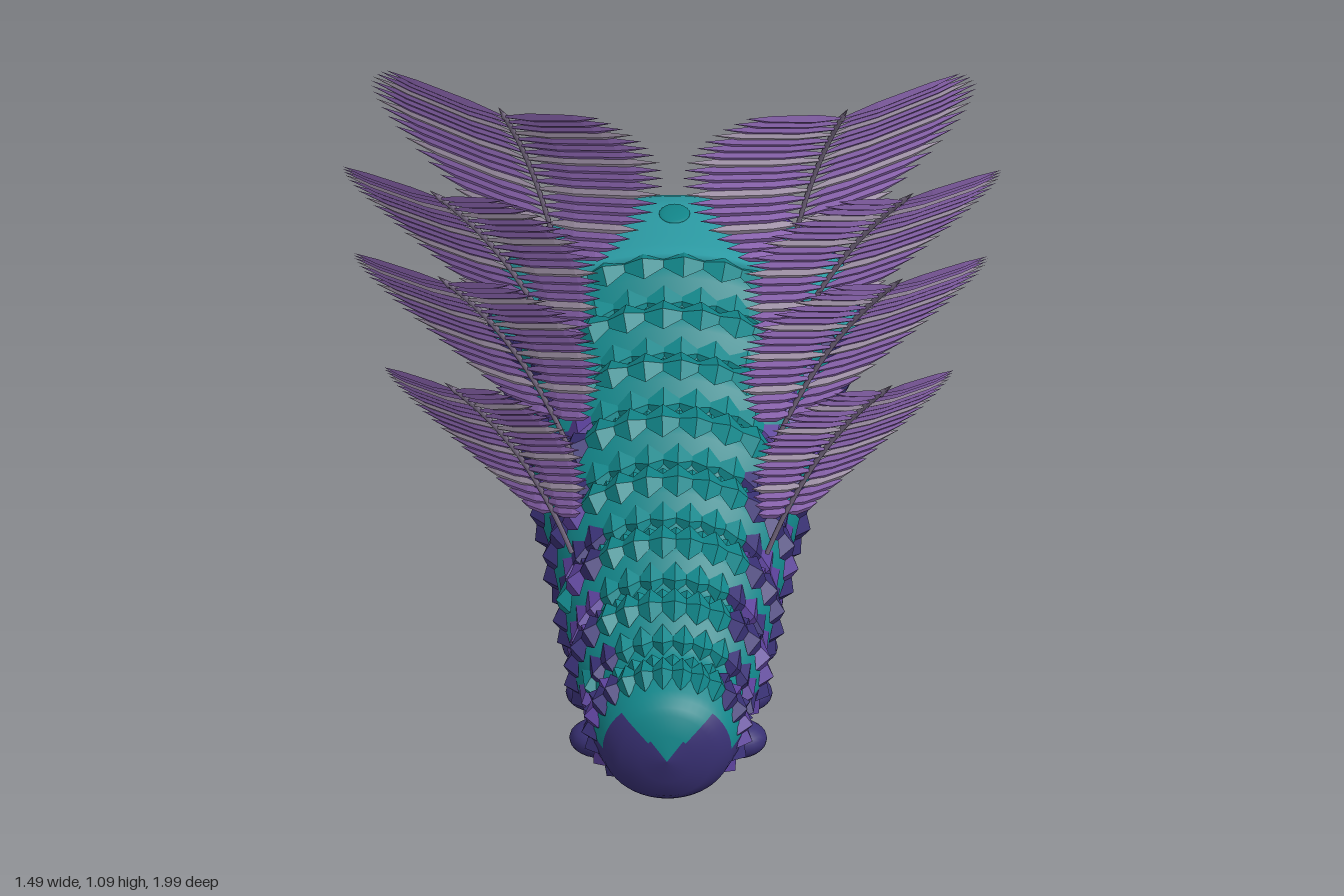
import * as THREE from 'three';
import { mergeGeometries } from 'three/addons/utils/BufferGeometryUtils.js';

const mat = (name, color) => {
  const m = new THREE.MeshStandardMaterial({ color });
  m.name = name;
  return m;
};
const V = (x, y, z) => new THREE.Vector3(x, y, z);

// piecewise-linear lookup in rows of [z, a, b]
function lookup(rows, z) {
  let i = 0;
  while (i < rows.length - 2 && z > rows[i + 1][0]) i++;
  const [p, q] = [rows[i], rows[i + 1]];
  const t = THREE.MathUtils.clamp((z - p[0]) / (q[0] - p[0]), 0, 1);
  return [p[1] + (q[1] - p[1]) * t, p[2] + (q[2] - p[2]) * t];
}

// skin of elliptical rings running along z; pick(x, y, z) gives the material of each face
function loft(name, rings, sides, pick) {
  const pos = [], buckets = new Map();
  for (const [z, rx, ry, cy] of rings)
    for (let j = 0; j < sides; j++) {
      const a = (j / sides) * Math.PI * 2;
      pos.push(Math.sin(a) * rx, cy + Math.cos(a) * ry, z);
    }
  for (let i = 0; i < rings.length - 1; i++)
    for (let j = 0; j < sides; j++) {
      const k = (j + 1) % sides, a = i * sides + j, b = i * sides + k, c = a + sides, d = b + sides;
      const mid = [0, 1, 2].map((n) => (pos[a * 3 + n] + pos[b * 3 + n] + pos[c * 3 + n] + pos[d * 3 + n]) / 4);
      const m = pick(...mid);
      if (!buckets.has(m)) buckets.set(m, []);
      buckets.get(m).push(a, c, d, a, d, b);
    }
  const geo = new THREE.BufferGeometry(), index = [], mats = [];
  geo.setAttribute('position', new THREE.Float32BufferAttribute(pos, 3));
  for (const [m, list] of buckets) {
    geo.addGroup(index.length, list.length, mats.length);
    mats.push(m);
    for (const n of list) index.push(n);
  }
  geo.setIndex(index);
  geo.computeVertexNormals();
  const mesh = new THREE.Mesh(geo, mats);
  mesh.name = name;
  return mesh;
}

export function createModel() {
  const teal = mat('teal', 0x12868a), brightTeal = mat('brightTeal', 0x2b9aa3);
  const indigo = mat('indigo', 0x383073), purple = mat('purple', 0x593f97), mauve = mat('mauve', 0x8462aa);
  const lilac = mat('lilac', 0x9a70c2), pale = mat('paleLilac', 0xb8a8c0), quill = mat('quillGrey', 0x7c6f88);
  const black = mat('black', 0x0b1216), white = mat('white', 0xe8eef0);
  const model = new THREE.Group();
  model.name = 'featheredCaterpillar';
  const add = (name, geo, m, parent = model) => {
    const mesh = new THREE.Mesh(geo, m);
    mesh.name = name;
    parent.add(mesh);
    return mesh;
  };

  // segmented body, flat along the belly
  const bodyRows = [[-0.55, 0.36, 0.268], [0, 0.308, 0.246], [0.4, 0.25, 0.208], [0.7, 0.212, 0.172],
    [0.9, 0.165, 0.141], [0.94, 0.145, 0.132], [0.97, 0.105, 0.105], [0.985, 0.06, 0.06], [0.995, 0, 0]];
  const section = (z) => {
    const [rx, ry] = lookup(bodyRows, z);
    const f = z > 0.87 ? 1 : 0.85 + 0.15 * Math.cos((Math.PI * (z - 0.87)) / 0.197) ** 2;
    return [z, rx * f, ry * f, 0.03 + Math.max(ry, 0.13) * f];
  };
  const skin = (a, z) => {
    const [, rx, ry, cy] = section(z);
    return V(Math.sin(a) * rx, cy + Math.cos(a) * ry, z);
  };
  const bodyZ = [];
  for (let z = -0.55; z < 0.93; z += 0.0245) bodyZ.push(z);
  bodyZ.push(0.94, 0.955, 0.97, 0.985, 0.995);
  model.add(loft('body', bodyZ.map(section), 48, (x, y, z) =>
    z > 0.93 ? (y > 0.17 + Math.abs(x) * 0.75 ? teal : indigo) : y > 0.17 ? teal : indigo));

  // raised pointed scales in staggered rows, lying along the skin
  const scaleGeo = new THREE.ConeGeometry(1, 1, 4, 1, true).toNonIndexed();
  scaleGeo.translate(0, 0.3, 0);
  const sp = scaleGeo.attributes.position;
  for (let i = 0; i < sp.count; i++) sp.setZ(i, sp.getZ(i) + 0.3 * sp.getY(i));
  scaleGeo.computeVertexNormals();
  const scaleSets = new Map([[teal, []], [indigo, []], [purple, []]]);
  let seed = 7;
  const rnd = () => (seed = (seed * 16807) % 2147483647) / 2147483647;
  let row = 0;
  for (let z = 0.87; z > -0.53; z -= 0.197 / 3, row++) {
    const [, rx, ry] = section(z), count = 19, arc = 4.7;
    for (let i = 0; i < count; i++) {
      const a = ((i + (row % 2 ? 0.5 : 0)) / (count - 0.5) - 0.5) * arc;
      const across = V(Math.cos(a) * rx, -Math.sin(a) * ry, 0).normalize();
      const along = skin(a, z + 0.025).sub(skin(a, z - 0.025)).normalize();
      const n = along.clone().cross(across).normalize(), w = 0.112 * (rx + ry);
      const m4 = new THREE.Matrix4().makeBasis(across.multiplyScalar(w), n.multiplyScalar(0.03), along.multiplyScalar(0.056));
      m4.setPosition(skin(a, z));
      const r = rnd();
      const m = Math.abs(a) < 0.82 || (r < 0.08 && Math.abs(a) < 1.4) ? teal : r > 0.68 ? purple : indigo;
      scaleSets.get(m).push(scaleGeo.clone().applyMatrix4(m4));
    }
  }
  for (const [m, list] of scaleSets) add(m.name + 'Scales', mergeGeometries(list), m);

  // six pairs of stubby feet
  for (let i = 0; i < 6; i++)
    for (const s of [-1, 1]) {
      const foot = add('foot', new THREE.SphereGeometry(1, 20, 12), indigo);
      foot.scale.set(0.068, 0.042, 0.056);
      foot.position.set(s * (0.205 - i * 0.01), 0.044, -0.29 + i * 0.198);
    }

  // head, coloured in patches
  const headRows = [[-0.97, 0, 0], [-0.967, 0.12, 0.08], [-0.957, 0.34, 0.18], [-0.945, 0.52, 0.3], [-0.925, 0.66, 0.45],
    [-0.89, 0.79, 0.65], [-0.84, 0.9, 0.85], [-0.79, 0.965, 0.945], [-0.74, 0.995, 0.99], [-0.68, 1, 1],
    [-0.56, 0.99, 0.99], [-0.515, 0.96, 0.96], [-0.51, 0, 0]];
  const headZ = [];
  headRows.forEach(([z], i) => {
    const next = headRows[i + 1];
    for (let k = 0; k < (next ? 3 : 1); k++) headZ.push(next ? z + ((next[0] - z) * k) / 3 : z);
  });
  const headPick = (x, y, z) => {
    const ax = Math.abs(x);
    if (y > 0.35 && z > -0.75) return brightTeal;
    if (y > 0.46 && ax < 0.11 && z > -0.89) return brightTeal;
    if (y < 0.19 && ax < 0.2 && z < -0.76) return mauve;
    if (z < -0.9 && ax < 0.1 && y < 0.42) return lilac;
    if (z < -0.75 && ax < 0.34 && y > 0.13) return purple;
    return indigo;
  };
  model.add(loft('head', headZ.map((z) => {
    const [a, b] = lookup(headRows, z);
    return [z, a * 0.42, b * 0.285, 0.295];
  }), 96, headPick));
  const spot = add('crownSpot', new THREE.SphereGeometry(1, 20, 10), teal);
  spot.scale.set(0.035, 0.006, 0.042);
  spot.position.set(0, 0.579, -0.69);

  // nose ridge and mouth
  const nose = add('nose', new THREE.SphereGeometry(1, 24, 16), lilac);
  nose.scale.set(0.1, 0.125, 0.05);
  nose.position.set(0, 0.265, -0.945);
  const lips = new THREE.CatmullRomCurve3([V(-0.12, 0.2, -0.95), V(-0.06, 0.165, -0.968), V(0, 0.175, -0.98),
    V(0.06, 0.165, -0.968), V(0.12, 0.2, -0.95)]);
  add('mouth', new THREE.TubeGeometry(lips, 24, 0.005, 6), quill);
  const crease = new THREE.CatmullRomCurve3([V(0, 0.34, -0.985), V(0, 0.27, -0.995), V(0, 0.175, -0.98)]);
  add('noseCrease', new THREE.TubeGeometry(crease, 12, 0.004, 6), quill);

  // three eyes
  for (const [x, y, z, nx, ny] of [[-0.185, 0.305, -0.932, -0.28, 0], [0.185, 0.305, -0.932, 0.28, 0], [0, 0.437, -0.9, 0, 0.62]]) {
    const eye = new THREE.Group();
    eye.name = 'eye';
    eye.position.set(x, y, z);
    eye.lookAt(x + nx, y + ny, z - 1);
    const disc = (name, r, depth, m, px, py, pz) => {
      const d = add(name, new THREE.SphereGeometry(1, 24, 12), m, eye);
      d.scale.set(r, r, depth);
      d.position.set(px, py, pz);
    };
    disc('eyeSocket', 0.086, 0.016, black, 0, 0, 0);
    add('iris', new THREE.TorusGeometry(0.061, 0.016, 8, 32), teal, eye).position.z = 0.006;
    disc('pupil', 0.053, 0.022, black, 0, 0, 0.008);
    disc('eyeGlint', 0.011, 0.006, white, 0.018, 0.022, 0.027);
    model.add(eye);
  }

  // feather wings: quill with two rows of ridged blades, coloured differently front and back
  const frontColours = [lilac, lilac, lilac, pale], backColours = [lilac, pale, brightTeal, lilac, pale];
  const blade = [[0, 0.25], [0.3, 1], [0.75, 0.8], [1, 0]];
  function feather(side, base, tip, lateral, width) {
    const group = new THREE.Group();
    group.name = side > 0 ? 'leftFeather' : 'rightFeather';
    const [b, e] = [V(...base), V(...tip)], d = e.clone().sub(b);
    const c = b.clone().add(V(d.x * 0.4, d.y * 0.6, d.z * 0.15));
    for (const p of [b, c, e]) p.x *= side;
    const curve = new THREE.QuadraticBezierCurve3(b, c, e), sets = new Map();
    add('quill', new THREE.TubeGeometry(curve, 20, 0.006, 6), quill, group);
    const tri = (m, p, q, r) => {
      if (!sets.has(m)) sets.set(m, []);
      for (const v of [p, q, r]) sets.get(m).push(v.x, v.y, v.z);
    };
    const rows = 18;
    const lat = V(lateral[0] * side, lateral[1], lateral[2]).normalize();
    for (let i = 0; i <= rows; i++) {
      const u = i / rows, t = 0.2 + 0.8 * u, root = curve.getPoint(t), up = curve.getTangent(t);
      const n = up.clone().cross(lat).normalize();
      if (n.z < 0) n.negate();
      for (const h of [-1, 1]) {
        const len = width * Math.sin(Math.PI * (0.12 + 0.6 * u)), sweep = 0.12 + 0.22 * u;
        const dir = lat.clone().multiplyScalar(h * Math.cos(sweep)).addScaledVector(up, Math.sin(sweep));
        const cross = n.clone().cross(dir);
        const at = (f, w, o) => root.clone().addScaledVector(dir, len * f).addScaledVector(cross, 0.021 * w)
          .addScaledVector(n, o - 0.03 * len * f * f);
        for (const [o, ridge, m, flip] of [[0.001, 0.008, frontColours[i % 4], false], [-0.001, -0.003, backColours[i % 5], true]])
          for (let k = 0; k < 3; k++)
            for (const half of [-1, 1]) {
              const [[f0, w0], [f1, w1]] = [blade[k], blade[k + 1]];
              const p = at(f0, half * w0, o), q = at(f1, half * w1, o);
              const r = at(f1, 0, o + ridge * w1), s = at(f0, 0, o + ridge * w0);
              const turned = flip !== half > 0;
              turned ? tri(m, p, r, q) : tri(m, p, q, r);
              turned ? tri(m, p, s, r) : tri(m, p, r, s);
            }
      }
    }
    for (const [m, pos] of sets) {
      const geo = new THREE.BufferGeometry();
      geo.setAttribute('position', new THREE.Float32BufferAttribute(pos, 3));
      geo.computeVertexNormals();
      add(m.name + 'Blades', geo, m, group);
    }
    const spike = add('featherTip', new THREE.ConeGeometry(0.008, 0.05, 6), quill, group);
    spike.position.copy(e).addScaledVector(curve.getTangent(1), 0.02);
    spike.quaternion.setFromUnitVectors(V(0, 1, 0), curve.getTangent(1));
    model.add(group);
  }
  for (const s of [-1, 1]) {
    feather(s, [0.24, 0.44, -0.55], [0.38, 1.01, -0.4], [0.9, 0, -0.38], 0.36);
    feather(s, [0.23, 0.44, -0.21], [0.52, 1.0, -0.06], [0.87, -0.05, -0.42], 0.28);
    feather(s, [0.22, 0.42, 0.11], [0.5, 0.97, 0.26], [0.87, -0.05, -0.42], 0.27);
    feather(s, [0.22, 0.38, 0.45], [0.48, 0.89, 0.59], [0.87, -0.05, -0.42], 0.205);
  }
  return model;
}
